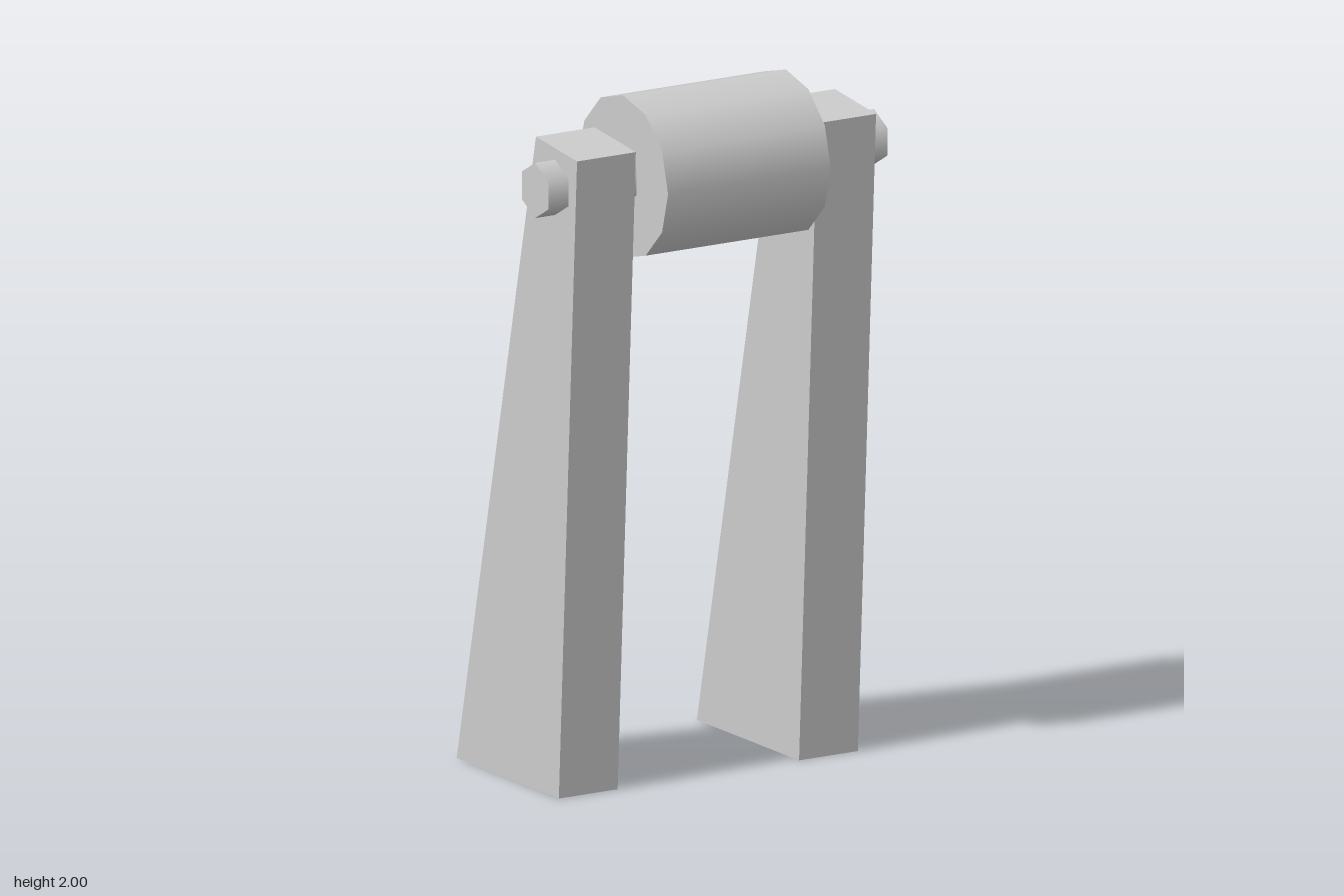
import * as THREE from 'three';

const AXLE_Y = 1.765, AXLE_Z = 0.14;

// Solid roller lying along x, with a corner pointing straight up
function roller(name, radius, length, sides, material) {
  const geometry = new THREE.CylinderGeometry(radius, radius, length, sides, 1, false, Math.PI / 2);
  geometry.rotateZ(Math.PI / 2);
  const mesh = new THREE.Mesh(geometry, material);
  mesh.name = name;
  mesh.position.set(0, AXLE_Y, AXLE_Z);
  return mesh;
}

// Tapered, leaning post: a box with its side profile reshaped and its underside left open
function postGeometry() {
  const geometry = new THREE.BoxGeometry(0.195, 1, 1);
  const pos = geometry.attributes.position;
  for (let i = 0; i < pos.count; i++) {
    const top = pos.getY(i) > 0, front = pos.getZ(i) > 0;
    pos.setY(i, top ? (front ? 1.865 : 1.89) : 0);
    pos.setZ(i, top ? (front ? 0.255 : 0.04) : (front ? 0.16 : -0.375));
  }
  // Faces run +x, -x, +y, -y, +z, -z with six indices each; drop -y
  const index = Array.from(geometry.index.array);
  index.splice(18, 6);
  geometry.setIndex(index);
  geometry.clearGroups();
  geometry.computeVertexNormals();
  return geometry;
}

export function createModel() {
  const model = new THREE.Group();
  model.name = 'rollerStand';
  const solid = new THREE.MeshStandardMaterial({ color: 0xcccccc });
  const shell = new THREE.MeshStandardMaterial({ color: 0xcccccc, side: THREE.DoubleSide });

  // Drum and the hexagonal axle through it
  model.add(roller('drum', 0.235, 0.54, 12, solid));
  model.add(roller('axle', 0.08, 1.125, 6, solid));

  // Pair of posts
  const geometry = postGeometry();
  for (const [name, side] of [['leftPost', 1], ['rightPost', -1]]) {
    const post = new THREE.Mesh(geometry, shell);
    post.name = name;
    post.position.x = side * 0.3985;
    model.add(post);
  }
  return model;
}
